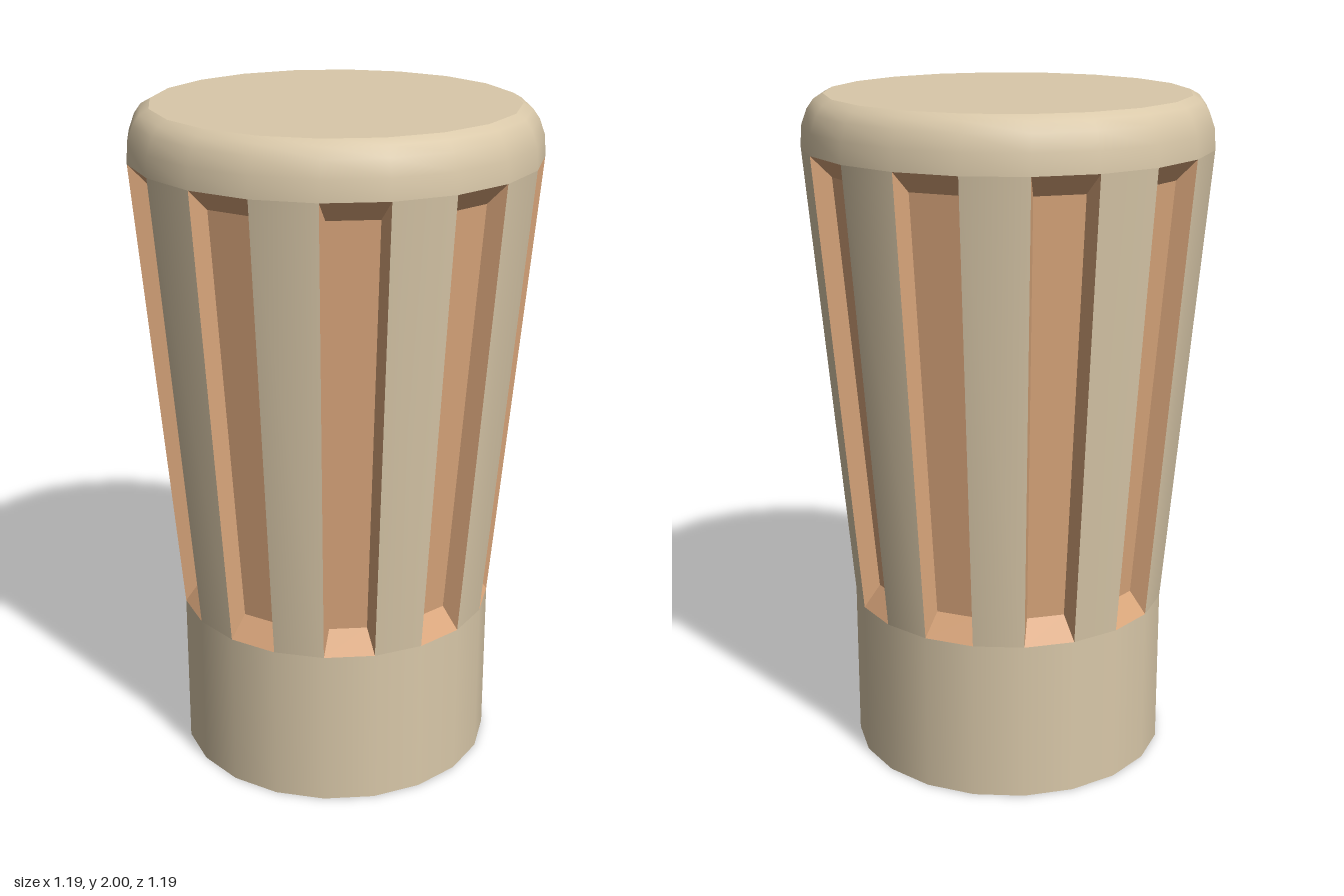
import * as THREE from 'three';

const SIDES = 20, STEP = (Math.PI * 2) / SIDES;
const BASE_R = 0.475, TOP_R = 0.595;   // corner radii at the ends of the taper
const LOW = 0.48, HIGH = 1.85;         // taper start and end heights

const radiusAt = (y) => BASE_R + ((TOP_R - BASE_R) * (y - LOW)) / (HIGH - LOW);
const profile = (pts) => pts.map(([r, y]) => new THREE.Vector2(r, y));

// Recess replacing one flat side: floor, two side walls and two sloped ends
function grooveGeometry() {
  const half = STEP / 2;
  const pair = (y, inset, depth) => {
    const w = radiusAt(y) * Math.sin(half) - inset;
    const z = radiusAt(y) * Math.cos(half) - depth;
    return [[-w, y, z], [w, y, z]];
  };
  const [a, b] = pair(LOW, 0, 0);
  const [c, d] = pair(0.55, 0.02, 0.05);
  const [e, f] = pair(1.79, 0.02, 0.05);
  const [g, h] = pair(HIGH, 0, 0);
  const quads = [
    [a, b, d, c], // lower slope
    [c, d, f, e], // floor
    [e, f, h, g], // upper slope
    [a, c, e, g], // left wall
    [d, b, h, f], // right wall
  ];
  const pos = [];
  for (const [p, q, r, s] of quads) pos.push(...p, ...q, ...r, ...p, ...r, ...s);
  const geo = new THREE.BufferGeometry();
  geo.setAttribute('position', new THREE.Float32BufferAttribute(pos, 3));
  geo.computeVertexNormals();
  return geo;
}

export function createModel() {
  const model = new THREE.Group();
  model.name = 'flutedKnob';
  const tan = new THREE.MeshStandardMaterial({ color: 0xd9c8a9, side: THREE.DoubleSide });
  tan.name = 'tan';
  const copper = new THREE.MeshStandardMaterial({ color: 0xdba77c, side: THREE.DoubleSide });
  copper.name = 'copper';

  const add = (name, geo, mat) => {
    const mesh = new THREE.Mesh(geo, mat);
    mesh.name = name;
    model.add(mesh);
    return mesh;
  };

  // Open-ended collar
  add('collar', new THREE.LatheGeometry(profile([[BASE_R, 0], [BASE_R, LOW]]), SIDES), tan);

  // Rounded rim and flat top
  const rim = [[TOP_R, HIGH], [0.592, 1.91], [0.575, 1.957], [0.555, 1.985], [0.528, 2]];
  add('rim', new THREE.LatheGeometry(profile(rim), SIDES), tan);
  const cap = add('topCap', new THREE.CircleGeometry(0.528, SIDES), tan);
  cap.rotation.x = -Math.PI / 2;
  cap.position.y = 2;

  // Ribs alternate with grooves around the taper
  const side = profile([[BASE_R, LOW], [TOP_R, HIGH]]);
  const groove = grooveGeometry();
  for (let i = 0; i < SIDES; i += 2) {
    add('rib', new THREE.LatheGeometry(side, 1, i * STEP, STEP), tan);
    add('groove', groove, copper).rotation.y = (i + 1.5) * STEP;
  }
  return model;
}
